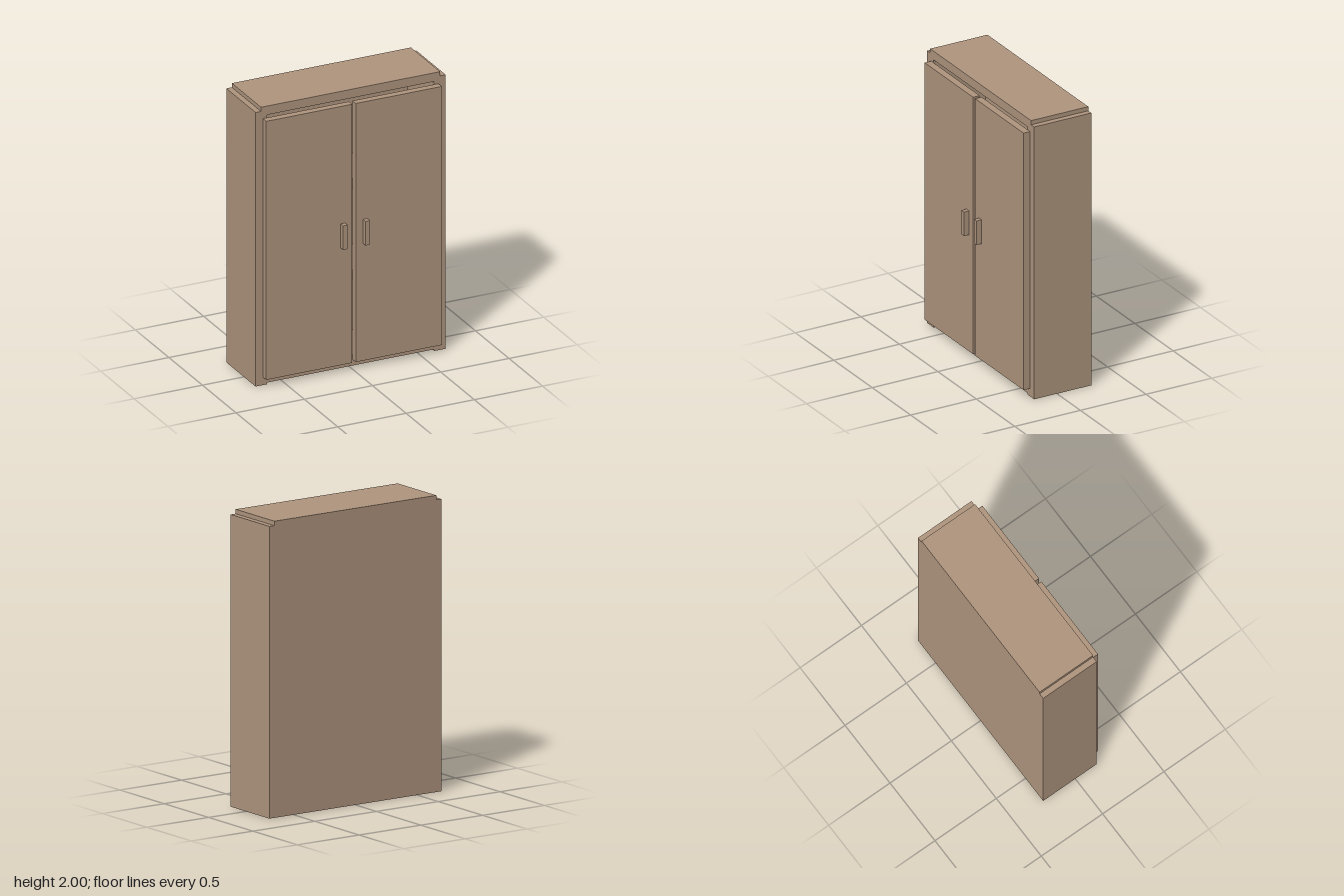
import * as THREE from 'three';

export function createModel() {
  const group = new THREE.Group();
  group.name = 'wardrobe';
  const wood = new THREE.MeshStandardMaterial({ color: 0xb0967f });
  wood.name = 'wood';

  const back = -0.262, front = 0.174, backThickness = 0.04;
  const halfWidth = 0.696, inner = 0.612, topHalf = 0.656;
  const sideTop = 1.97, top = 2;

  function add(name, geometry) {
    const mesh = new THREE.Mesh(geometry, wood);
    mesh.name = name;
    group.add(mesh);
  }

  // Box given by its lower and upper corners
  function box(name, x0, x1, y0, y1, z0, z1) {
    const geometry = new THREE.BoxGeometry(x1 - x0, y1 - y0, z1 - z0);
    geometry.translate((x0 + x1) / 2, (y0 + y1) / 2, (z0 + z1) / 2);
    add(name, geometry);
  }

  // Front outline; the base is the height of the underside between the sides
  function outline(base) {
    const half = [[inner, base], [inner, 0], [halfWidth, 0], [halfWidth, sideTop], [topHalf, sideTop], [topHalf, top]];
    const mirrored = half.map(([x, y]) => [-x, y]).reverse();
    return new THREE.Shape([...half, ...mirrored].map(([x, y]) => new THREE.Vector2(x, y)));
  }

  function extrude(shape, z0, z1) {
    const geometry = new THREE.ExtrudeGeometry(shape, { depth: z1 - z0, bevelEnabled: false });
    return geometry.translate(0, 0, z0);
  }

  // Sides, top, bottom and two shelves, with three open compartments
  const carcass = outline(0.012);
  for (const [y0, y1] of [[0.076, 0.63], [0.69, 1.28], [1.345, 1.937]]) {
    carcass.holes.push(new THREE.Path([
      new THREE.Vector2(-inner, y0), new THREE.Vector2(-inner, y1),
      new THREE.Vector2(inner, y1), new THREE.Vector2(inner, y0),
    ]));
  }
  add('carcass', extrude(carcass, back + backThickness, front));

  // Back panel reaches the floor
  const panel = new THREE.Shape([
    [-halfWidth, 0], [halfWidth, 0], [halfWidth, sideTop], [topHalf, sideTop],
    [topHalf, top], [-topHalf, top], [-topHalf, sideTop], [-halfWidth, sideTop],
  ].map(([x, y]) => new THREE.Vector2(x, y)));
  add('backPanel', extrude(panel, back, back + backThickness));

  // Paired doors and handles
  for (const [side, s] of [['left', 1], ['right', -1]]) {
    const span = (a, b) => (s > 0 ? [a, b] : [-b, -a]);
    box(side + 'Door', ...span(0.013, 0.643), 0.057, 1.916, front, 0.224);
    box(side + 'Handle', ...span(0.065, 0.098), 0.9, 1.073, 0.224, 0.262);
  }
  return group;
}
